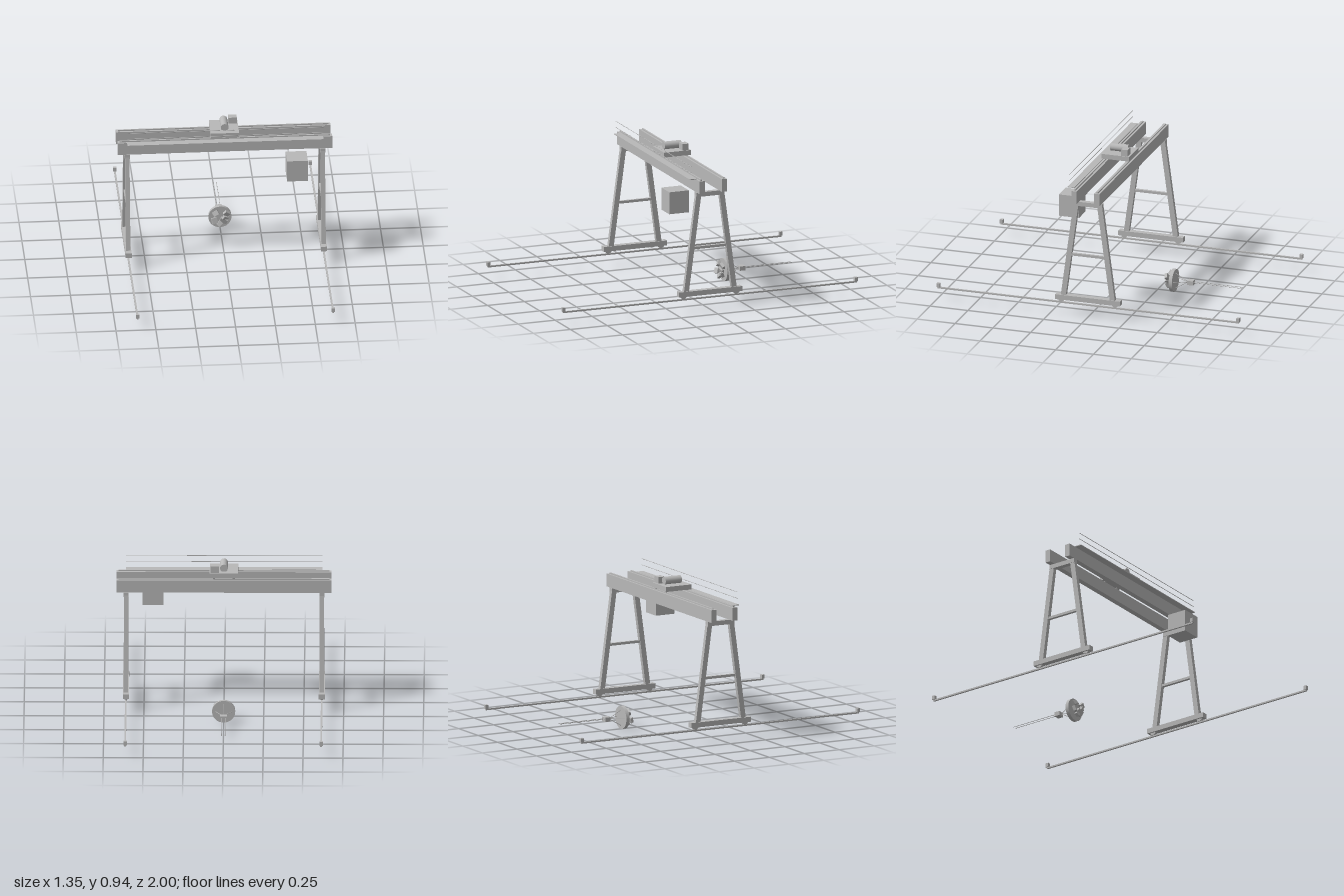
import * as THREE from 'three';

export function createModel() {
  const crane = new THREE.Group();
  crane.name = 'gantryCrane';
  const steel = new THREE.MeshStandardMaterial({ color: 0xb8b8b8 });
  steel.name = 'grey steel';

  const add = (name, geometry, x, y, z, parent = crane) => {
    const mesh = new THREE.Mesh(geometry, steel);
    mesh.name = name;
    mesh.position.set(x, y, z);
    parent.add(mesh);
    return mesh;
  };
  const box = (name, w, h, d, x, y, z, parent) =>
    add(name, new THREE.BoxGeometry(w, h, d), x, y, z, parent);
  // Cylinder along the x or z axis
  const roller = (name, axis, r, length, x, y, z, parent, sides = 24) => {
    const g = new THREE.CylinderGeometry(r, r, length, sides);
    if (axis === 'x') g.rotateZ(Math.PI / 2); else g.rotateX(Math.PI / 2);
    return add(name, g, x, y, z, parent);
  };
  // Thin rod between two points
  const rod = (name, a, b, r, parent) => {
    const from = new THREE.Vector3(...a), to = new THREE.Vector3(...b);
    const dir = to.clone().sub(from);
    const mid = from.add(to).multiplyScalar(0.5);
    const mesh = add(name, new THREE.CylinderGeometry(r, r, dir.length(), 8), mid.x, mid.y, mid.z, parent);
    mesh.quaternion.setFromUnitVectors(new THREE.Vector3(0, 1, 0), dir.normalize());
    return mesh;
  };

  // Ground rails, stops and A-frame legs on each side
  for (const side of [-1, 1]) {
    const x = 0.613 * side;
    box('groundRail', 0.011, 0.01, 1.99, x, 0.081, 0);
    const frame = new THREE.Group();
    frame.name = side > 0 ? 'leftLegFrame' : 'rightLegFrame';
    crane.add(frame);
    box('bottomBeam', 0.038, 0.032, 0.428, x, 0.118, 0, frame);
    box('topBeam', 0.032, 0.028, 0.19, x, 0.753, 0, frame);
    box('crossBrace', 0.018, 0.016, 0.235, x, 0.409, 0, frame);
    for (const end of [-1, 1]) {
      box('railStop', 0.022, 0.026, 0.02, x, 0.098, 0.99 * end);
      roller('travelWheel', 'x', 0.021, 0.018, x, 0.107, 0.178 * end, frame);
      // Legs lean inwards towards the top
      const lean = Math.atan2(0.086, 0.635);
      const leg = box('leg', 0.027, 0.64, 0.033, x, 0.442, 0.12 * end, frame);
      leg.rotation.x = -lean * end;
    }
  }

  // Twin girders with trolley rails
  for (const end of [-1, 1]) {
    box('girder', 1.346, 0.082, 0.035, 0, 0.809, 0.075 * end);
    box('trolleyRail', 1.32, 0.008, 0.01, 0, 0.854, 0.075 * end);
  }

  // Walkway with two handrail wires
  box('walkway', 1.23, 0.005, 0.046, 0, 0.852, 0.114);
  for (const y of [0.895, 0.935]) {
    roller('handrail', 'x', 0.0018, 1.23, 0, y, 0.126, crane, 8);
  }

  // Trolley with drum and motor
  const trolley = new THREE.Group();
  trolley.name = 'trolley';
  crane.add(trolley);
  box('trolleyDeck', 0.178, 0.031, 0.182, 0, 0.88, 0, trolley);
  for (const x of [-0.062, 0.062]) {
    for (const z of [-0.075, 0.075]) roller('trolleyWheel', 'x', 0.011, 0.014, x, 0.868, z, trolley);
  }
  roller('hoistDrum', 'z', 0.0245, 0.116, 0, 0.918, 0, trolley);
  box('hoistMotor', 0.053, 0.042, 0.043, 0.057, 0.916, -0.057, trolley);

  // Operator cabin
  box('cabin', 0.13, 0.142, 0.133, 0.445, 0.684, 0.164);

  // Lifting magnet on its cables, lying along z
  const hoist = new THREE.Group();
  hoist.name = 'liftingMagnet';
  hoist.position.set(0, 0.0755, 0);
  crane.add(hoist);
  roller('magnetDisc', 'z', 0.0725, 0.022, 0, 0, -0.356, hoist, 32);
  box('hookBlock', 0.042, 0.028, 0.037, 0, 0, -0.47, hoist);
  for (const x of [-0.011, 0.011]) {
    rod('hoistCable', [x, 0.002, -0.485], [x, 0.002, -0.808], 0.0018, hoist);
  }
  for (let i = 0; i < 4; i++) {
    const a = i * Math.PI / 2;
    rod('chain', [0, 0, -0.452], [0.05 * Math.cos(a), 0.05 * Math.sin(a), -0.366], 0.002, hoist);
  }

  // Scrap pieces held on the face: x, y, width, height, turn
  const scrap = [
    [-0.028, 0.036, 0.036, 0.03, 0.5], [0.04, 0.034, 0.034, 0.03, -0.7],
    [-0.037, -0.012, 0.034, 0.036, 0.25], [0.022, -0.016, 0.046, 0.036, -0.3],
    [-0.004, -0.036, 0.034, 0.026, 0.8], [0.032, 0.006, 0.034, 0.026, -0.5],
  ];
  scrap.forEach(([x, y, w, h, turn], i) => {
    const piece = box('scrapPiece', w, h, 0.018, x, y, -0.328 + 0.004 * (i % 3), hoist);
    piece.rotation.set(0.35 * (i % 2 ? 1 : -1), 0.25 * (i % 3 - 1), turn);
  });

  return crane;
}
